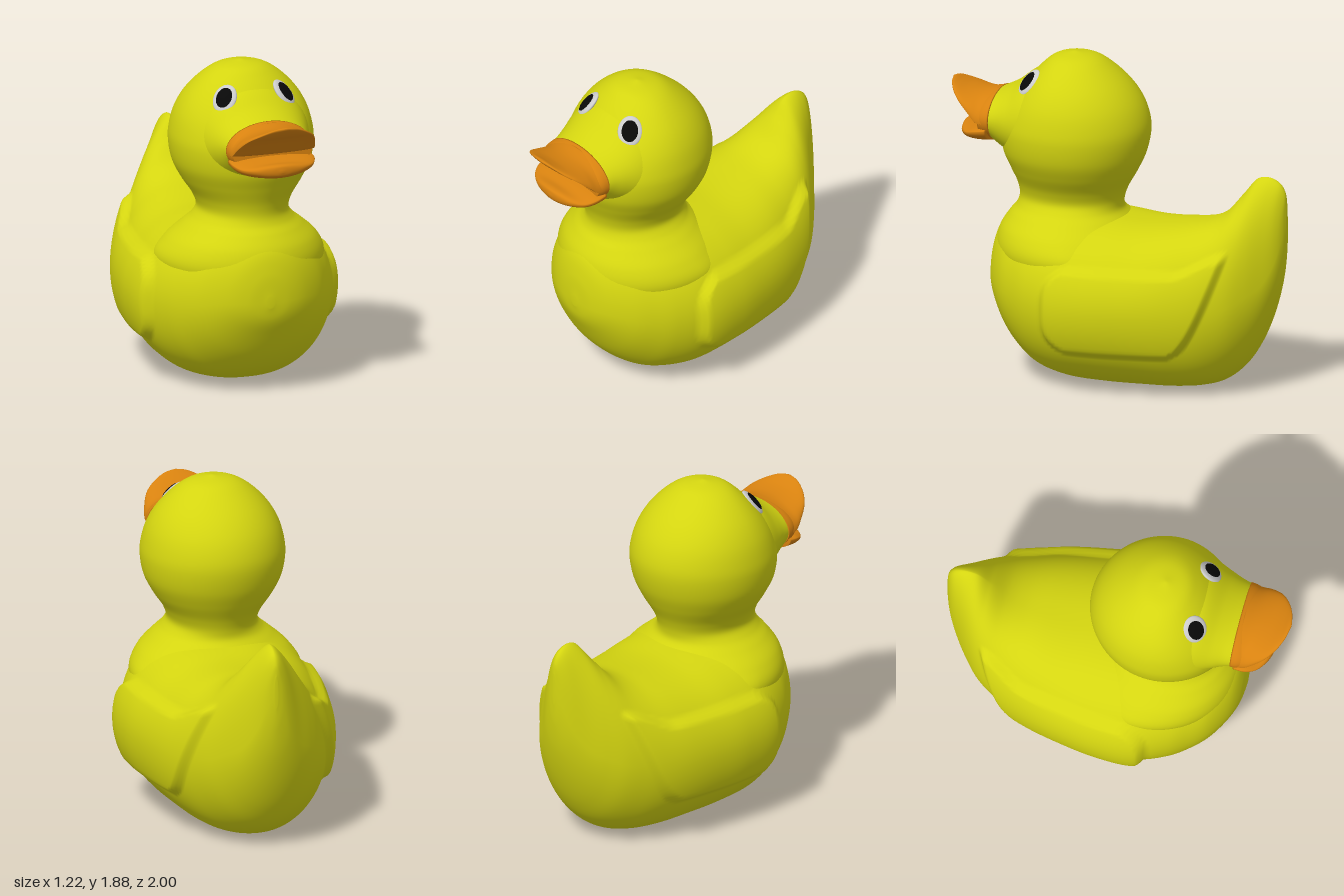
import * as THREE from 'three';

const yellow = new THREE.MeshStandardMaterial({ color: 0xd4d510 });
const orange = new THREE.MeshStandardMaterial({ color: 0xd8820f });
const white = new THREE.MeshStandardMaterial({ color: 0xdddddd });
const black = new THREE.MeshStandardMaterial({ color: 0x080808 });

// Smooth skin over sections [t, halfWidth, high, mid, low, pinch].
// Axis 'z': sections stand upright, listed back to front.
// Axis 'y': sections lie flat (high = front z), listed top to bottom.
function loft(sections, axis, rows, cols, rule) {
  const pos = [], idx = [];
  const columns = Array.from({ length: cols }, (_, j) => {
    const a = (j / cols) * Math.PI * 2, c = Math.cos(a), s = Math.sin(a);
    return new THREE.CatmullRomCurve3(sections.map(([t, w, hi, mid, lo, k = 1]) => {
      const x = w * Math.sign(c) * Math.abs(c) ** (s > 0 ? k : Math.min(k, 1));
      const v = mid + s * (s > 0 ? hi - mid : mid - lo);
      return axis === 'z' ? new THREE.Vector3(x, v, t) : new THREE.Vector3(x, t, v);
    }));
  });
  const ends = [new THREE.Vector3(), new THREE.Vector3()];
  for (let i = 0; i <= rows; i++) {
    for (let j = 0; j < cols; j++) {
      const p = columns[j].getPoint(i / rows);
      if (rule) rule(p);
      pos.push(p.x, p.y, p.z);
      if (i === 0) ends[0].addScaledVector(p, 1 / cols);
      if (i === rows) ends[1].addScaledVector(p, 1 / cols);
      const a = i * cols + j, b = i * cols + ((j + 1) % cols);
      if (i < rows) idx.push(a, b, a + cols, b, b + cols, a + cols);
    }
  }
  const first = (rows + 1) * cols;
  for (const e of ends) pos.push(e.x, e.y, e.z);
  for (let j = 0; j < cols; j++) {
    const n = (j + 1) % cols;
    idx.push(first, n, j, first + 1, rows * cols + j, rows * cols + n);
  }
  const g = new THREE.BufferGeometry();
  g.setAttribute('position', new THREE.Float32BufferAttribute(pos, 3));
  g.setIndex(idx);
  g.computeVertexNormals();
  return g;
}

// Raises the folded wing on each flank
function raiseWing(p) {
  const step = (d) => THREE.MathUtils.smoothstep(d, -0.012, 0.03);
  const { y, z } = p;
  const front = 0.28 - 0.14 * ((y - 0.5) / 0.25) ** 4;
  const back = -0.45 - 0.29 * Math.max(0, (y - 0.27) / 0.57) ** 0.55;
  const top = 0.75 + 0.1 * THREE.MathUtils.smoothstep(-z, 0.45, 0.72);
  const m = step(y - 0.25) * step(top - y) * step(front - z) * step(z - back);
  p.x += Math.sign(p.x) * 0.042 * m;
}

export function createModel() {
  const group = new THREE.Group();
  const add = (name, geometry, material) => {
    const mesh = new THREE.Mesh(geometry, material);
    mesh.name = name;
    group.add(mesh);
    return mesh;
  };

  // Body with upturned tail and wings
  add('body', loft([
    [-1.0, 0.01, 1.1, 0.99, 0.92],
    [-0.99, 0.045, 1.17, 0.92, 0.78],
    [-0.96, 0.1, 1.22, 0.78, 0.6, 1.1],
    [-0.9, 0.175, 1.25, 0.65, 0.4, 1.3],
    [-0.83, 0.255, 1.24, 0.6, 0.245, 1.4],
    [-0.75, 0.33, 1.15, 0.55, 0.13, 1.2],
    [-0.65, 0.39, 1.035, 0.52, 0.05, 0.95],
    [-0.55, 0.435, 0.98, 0.5, 0.02, 0.85],
    [-0.4, 0.485, 0.95, 0.5, 0.004, 0.8],
    [-0.2, 0.53, 0.935, 0.5, 0, 0.8],
    [0, 0.56, 0.95, 0.5, 0, 0.8],
    [0.22, 0.56, 0.97, 0.5, 0.012, 0.8],
    [0.4, 0.5, 0.97, 0.52, 0.05, 0.85],
    [0.5, 0.44, 0.97, 0.53, 0.11, 0.9],
    [0.6, 0.36, 0.95, 0.55, 0.215, 0.95],
    [0.69, 0.235, 0.86, 0.57, 0.37],
    [0.73, 0.13, 0.74, 0.57, 0.46],
    [0.745, 0.02, 0.6, 0.57, 0.54],
  ], 'z', 170, 160, raiseWing), yellow);

  // Round head flowing through the neck into the shoulders
  const head = add('headAndNeck', loft([
    [1.877, 0.01, 0.28, 0.27, 0.26],
    [1.85, 0.135, 0.39, 0.27, 0.14],
    [1.8, 0.22, 0.455, 0.27, 0.06],
    [1.7, 0.318, 0.545, 0.27, -0.05],
    [1.6, 0.375, 0.62, 0.27, -0.12],
    [1.5, 0.403, 0.67, 0.27, -0.155],
    [1.42, 0.41, 0.69, 0.27, -0.16],
    [1.3, 0.39, 0.68, 0.27, -0.135],
    [1.2, 0.34, 0.64, 0.27, -0.09],
    [1.1, 0.275, 0.6, 0.28, -0.035],
    [1.03, 0.255, 0.59, 0.29, -0.012],
    [0.98, 0.285, 0.605, 0.29, -0.012],
    [0.93, 0.345, 0.645, 0.28, -0.05],
    [0.85, 0.435, 0.695, 0.25, -0.12],
    [0.75, 0.49, 0.715, 0.2, -0.15],
    [0.6, 0.45, 0.68, 0.2, -0.1],
  ], 'y', 110, 80), yellow);

  // Face tapering towards the beak
  const face = add('face', loft([
    [0.36, 0.36, 1.8, 1.46, 1.16],
    [0.5, 0.325, 1.755, 1.46, 1.2],
    [0.6, 0.285, 1.68, 1.47, 1.25],
    [0.66, 0.262, 1.645, 1.475, 1.285],
    [0.72, 0.248, 1.618, 1.475, 1.335],
  ], 'z', 30, 64), yellow);

  // Open beak: base, arched upper bill, flat lower bill
  add('beakBase', loft([
    [0.705, 0.256, 1.627, 1.475, 1.33],
    [0.74, 0.252, 1.616, 1.475, 1.332],
    [0.775, 0.24, 1.6, 1.475, 1.34],
  ], 'z', 10, 64), orange);
  add('upperBill', loft([
    [0.72, 0.25, 1.622, 1.46, 1.44],
    [0.78, 0.247, 1.611, 1.465, 1.455],
    [0.83, 0.235, 1.61, 1.51, 1.5],
    [0.9, 0.2, 1.622, 1.57, 1.565],
    [0.95, 0.145, 1.642, 1.61, 1.6],
    [0.985, 0.075, 1.66, 1.643, 1.632],
    [1.0, 0.01, 1.66, 1.655, 1.65],
  ], 'z', 36, 64), orange);
  add('lowerBill', loft([
    [0.72, 0.25, 1.455, 1.42, 1.33],
    [0.79, 0.247, 1.44, 1.41, 1.328],
    [0.85, 0.215, 1.422, 1.395, 1.335],
    [0.9, 0.145, 1.425, 1.39, 1.345],
    [0.922, 0.07, 1.418, 1.388, 1.36],
    [0.93, 0.01, 1.395, 1.388, 1.38],
  ], 'z', 30, 64), orange);

  // Oval eyes resting on the head surface
  const ray = new THREE.Raycaster(new THREE.Vector3(0.178, 1.715, 2), new THREE.Vector3(0, 0, -1));
  const hit = ray.intersectObjects([head, face])[0];
  const spot = hit ? hit.point : new THREE.Vector3(0.178, 1.715, 0.49);
  for (const side of [1, -1]) {
    const eye = new THREE.Group();
    eye.name = side > 0 ? 'leftEye' : 'rightEye';
    const normal = new THREE.Vector3(0.53 * side, 0.64, 0.56).normalize();
    eye.position.set(spot.x * side, spot.y, spot.z);
    eye.lookAt(eye.position.clone().add(normal));
    const parts = [['eyeWhite', white, 0.07, 0.088, 0.022, 0], ['pupil', black, 0.047, 0.062, 0.012, 0.015]];
    for (const [name, material, w, h, d, out] of parts) {
      const mesh = new THREE.Mesh(new THREE.SphereGeometry(1, 40, 24), material);
      mesh.name = name;
      mesh.scale.set(w, h, d);
      mesh.position.z = out;
      eye.add(mesh);
    }
    group.add(eye);
  }
  return group;
}
